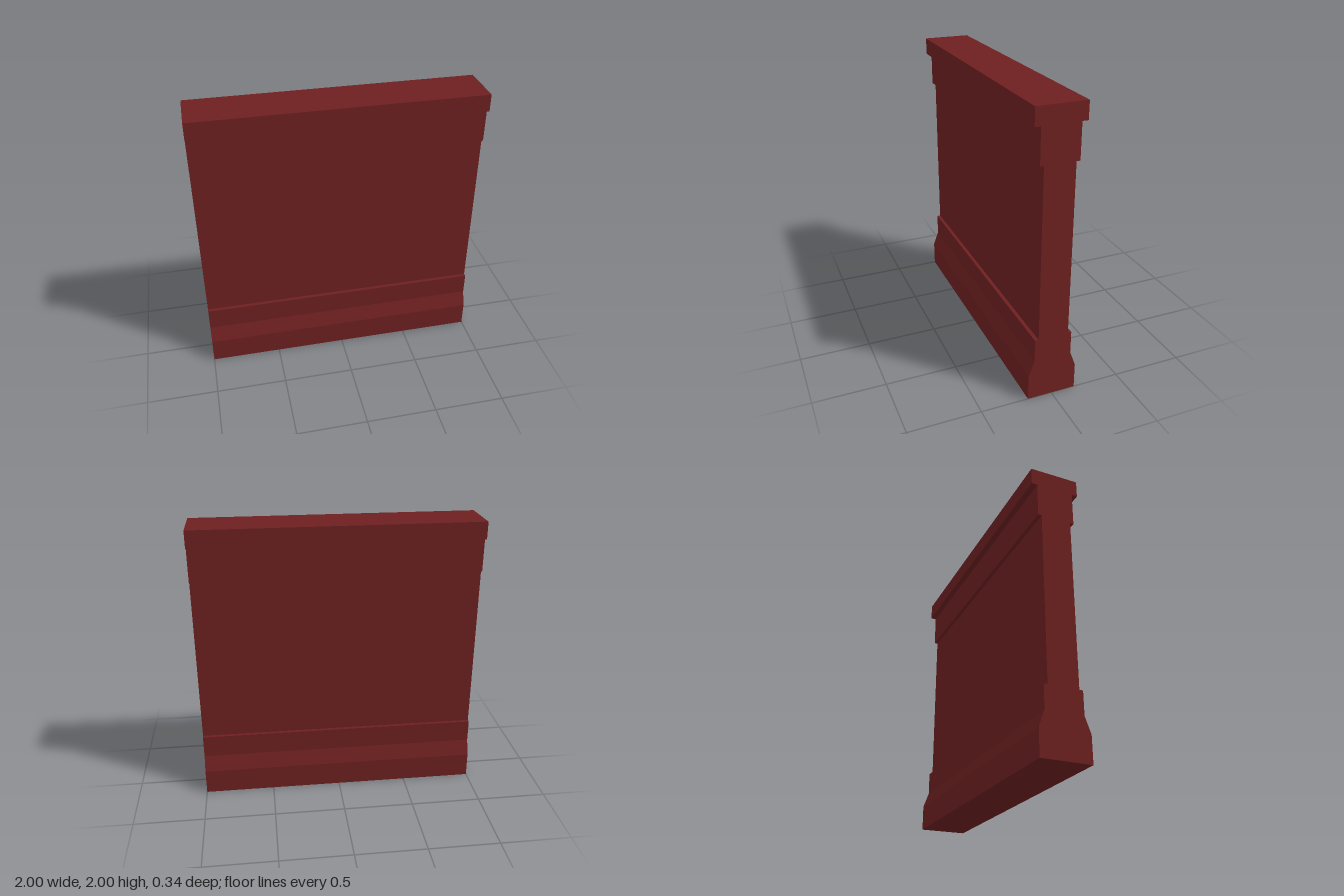
import * as THREE from 'three';

const LENGTH = 2;

// Half of the wall's cross-section, bottom to top: [half depth, height]
const HALF_PROFILE = [
  [0.17, 0], [0.17, 0.18],      // plinth
  [0.13, 0.29], [0.13, 0.45],   // sloped shoulder and base band
  [0.105, 0.45], [0.105, 1.64], // recessed panel
  [0.13, 1.64], [0.13, 1.88],   // upper band
  [0.17, 1.88], [0.17, 2],      // coping
];

export function createModel() {
  const group = new THREE.Group();
  group.name = 'wallSection';

  // Mirror the half profile into a closed outline
  const right = HALF_PROFILE.map(([d, y]) => new THREE.Vector2(d, y));
  const left = HALF_PROFILE.map(([d, y]) => new THREE.Vector2(-d, y)).reverse();
  const outline = new THREE.Shape([...right, ...left]);

  // Sweep the outline along x
  const geometry = new THREE.ExtrudeGeometry(outline, { depth: LENGTH, bevelEnabled: false });
  geometry.translate(0, 0, -LENGTH / 2);
  geometry.rotateY(Math.PI / 2);

  const wall = new THREE.Mesh(geometry, new THREE.MeshStandardMaterial({ color: 0x6e2020 }));
  wall.name = 'mouldedWall';
  group.add(wall);
  return group;
}
